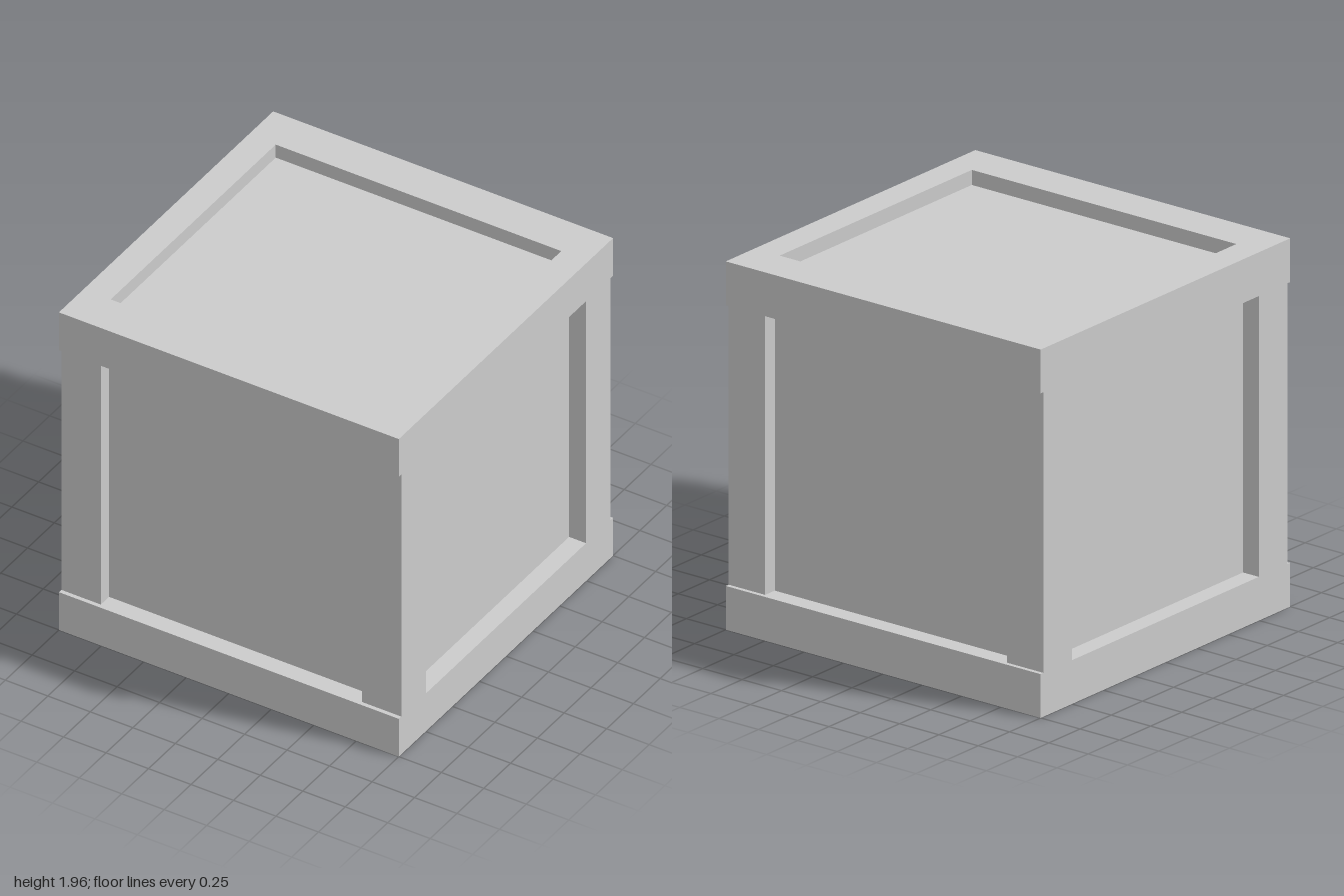
import * as THREE from 'three';

export function createModel() {
  const crate = new THREE.Group();
  crate.name = 'crate';
  const material = new THREE.MeshStandardMaterial({ color: 0xcccccc, flatShading: true });

  const HEIGHT = 1.96, RAIL = 0.233;
  const postHeight = HEIGHT - 2 * RAIL;

  function box(name, w, h, d, x, y, z) {
    const mesh = new THREE.Mesh(new THREE.BoxGeometry(w, h, d), material);
    mesh.name = name;
    mesh.position.set(x, y, z);
    crate.add(mesh);
  }

  // inner box whose faces form the recessed panels
  box('panelBox', 1.8, 1.8, 1.8, 0, HEIGHT / 2, 0);

  // top and bottom frames
  for (const [level, y] of [['bottom', RAIL / 2], ['top', HEIGHT - RAIL / 2]]) {
    for (const s of [-1, 1]) {
      box(level + (s > 0 ? 'FrontRail' : 'BackRail'), 2, RAIL, 0.23, 0, y, s * 0.885);
      box(level + (s > 0 ? 'LeftRail' : 'RightRail'), 0.16, RAIL, 1.54, s * 0.92, y, 0);
    }
  }

  // corner posts, set back slightly from the front and back rails
  for (const sx of [-1, 1]) {
    for (const sz of [-1, 1]) {
      const name = (sz > 0 ? 'front' : 'back') + (sx > 0 ? 'Left' : 'Right') + 'Post';
      box(name, 0.232, postHeight, 0.229, sx * 0.884, HEIGHT / 2, sz * 0.8625);
    }
  }

  return crate;
}
